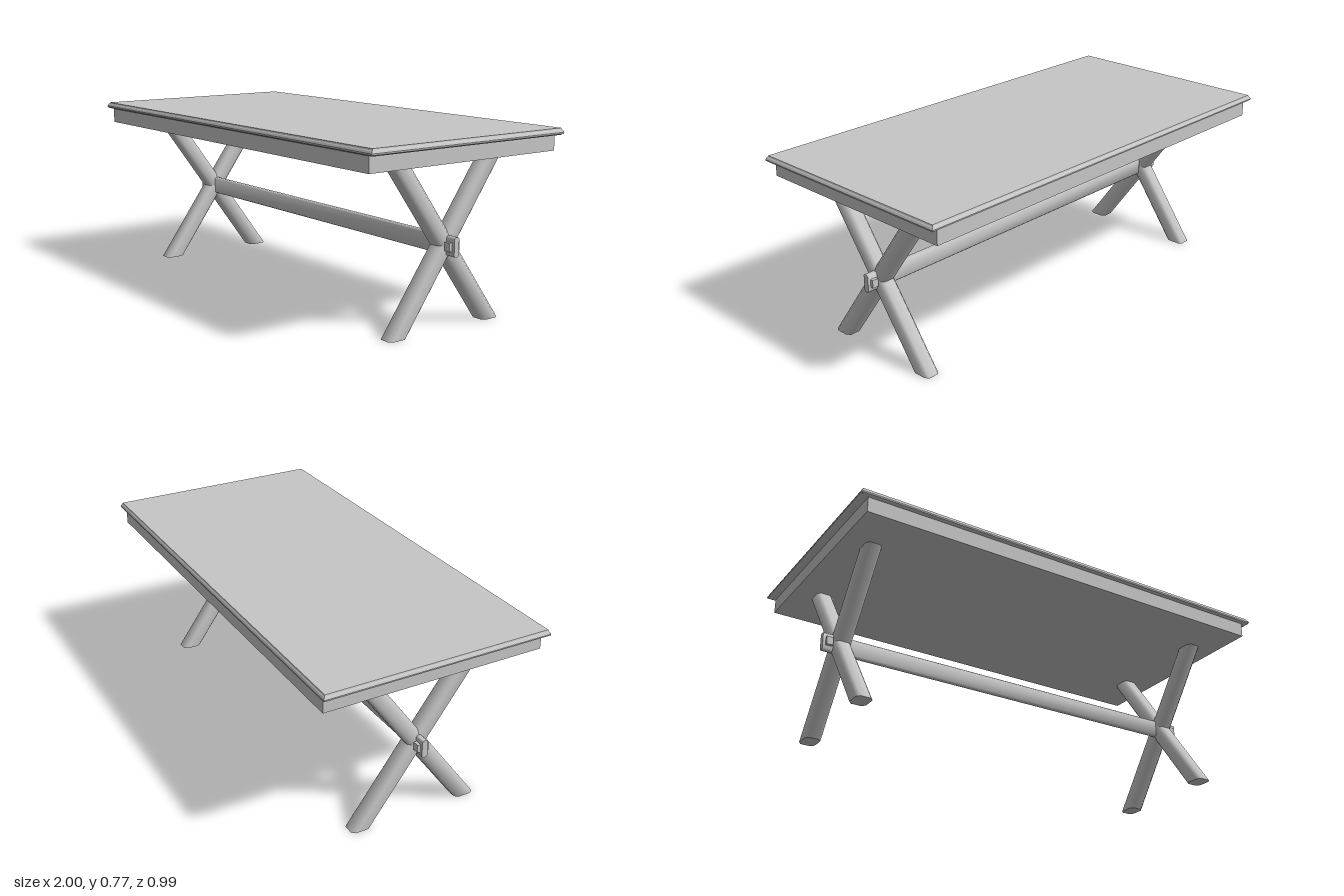
import * as THREE from 'three';
import { toCreasedNormals } from 'three/addons/utils/BufferGeometryUtils.js';

const TOP_Y = 0.768, APRON_Y = 0.675, LEG_X = 0.838, CROSS_Y = 0.337;

// Bar with chamfered long edges, running along z from -length/2 to length/2
function chamferedBar(w, h, length, c) {
  const x = w / 2, y = h / 2;
  const shape = new THREE.Shape([
    [x, y - c], [x - c, y], [c - x, y], [-x, y - c],
    [-x, c - y], [c - x, -y], [x - c, -y], [x, c - y],
  ].map(([a, b]) => new THREE.Vector2(a, b)));
  return new THREE.ExtrudeGeometry(shape, { depth: length, bevelEnabled: false })
    .translate(0, 0, -length / 2);
}

// Rectangular slab lofted through [inset, y] levels, bottom to top
function mouldedSlab(hx, hz, levels) {
  const rings = levels.map(([d, y]) =>
    [[1, 1], [1, -1], [-1, -1], [-1, 1]].map(([sx, sz]) => [sx * (hx - d), y, sz * (hz - d)]));
  const pos = [];
  const quad = (a, b, c, d) => pos.push(...a, ...b, ...c, ...a, ...c, ...d);
  for (let i = 0; i + 1 < rings.length; i++) {
    for (let k = 0; k < 4; k++) {
      const n = (k + 1) % 4;
      quad(rings[i][k], rings[i][n], rings[i + 1][n], rings[i + 1][k]);
    }
  }
  quad(...rings[rings.length - 1]);
  quad(...[...rings[0]].reverse());
  const geo = new THREE.BufferGeometry();
  geo.setAttribute('position', new THREE.Float32BufferAttribute(pos, 3));
  geo.computeVertexNormals();
  return geo;
}

// Slanted leg with level ends: an upright bar sheared along z
function legGeometry(dir) {
  const slope = dir * 0.49 / APRON_Y;
  const geo = chamferedBar(0.07, 0.07, APRON_Y, 0.013)
    .rotateX(-Math.PI / 2)
    .scale(1, 1, 0.088 / 0.07);
  geo.applyMatrix4(new THREE.Matrix4().set(
    1, 0, 0, 0,
    0, 1, 0, APRON_Y / 2,
    0, slope, 1, 0,
    0, 0, 0, 1));
  return toCreasedNormals(geo, 0.86);
}

export function createModel() {
  const table = new THREE.Group();
  table.name = 'trestleTable';
  const grey = new THREE.MeshStandardMaterial({ color: 0xc6c6c6 });
  grey.name = 'light grey';

  const add = (name, geo, x = 0, y = 0, z = 0) => {
    const mesh = new THREE.Mesh(geo, grey);
    mesh.name = name;
    mesh.position.set(x, y, z);
    table.add(mesh);
  };

  // Top with moulded edge, and the solid apron under it
  add('tableTop', mouldedSlab(1, 0.495, [
    [0.01, 0.74], [0.001, 0.745], [0, 0.751], [0.004, 0.759], [0.007, 0.762], [0.009, TOP_Y],
  ]));
  add('apron', new THREE.BoxGeometry(1.93, 0.741 - APRON_Y, 0.958), 0, (0.741 + APRON_Y) / 2, 0);

  // Crossed legs and locking pegs at both ends
  for (const side of [1, -1]) {
    add('legLeaningForward', legGeometry(1), side * LEG_X);
    add('legLeaningBack', legGeometry(-1), side * LEG_X);
    add('peg', new THREE.BoxGeometry(0.028, 0.035, 0.052), side * 0.892, CROSS_Y, 0);
  }

  // Stretcher running through both leg crossings
  const stretcher = chamferedBar(0.025, 0.078, 1.836, 0.006).rotateY(Math.PI / 2);
  add('stretcher', toCreasedNormals(stretcher, 0.86), 0, CROSS_Y, 0);

  return table;
}
